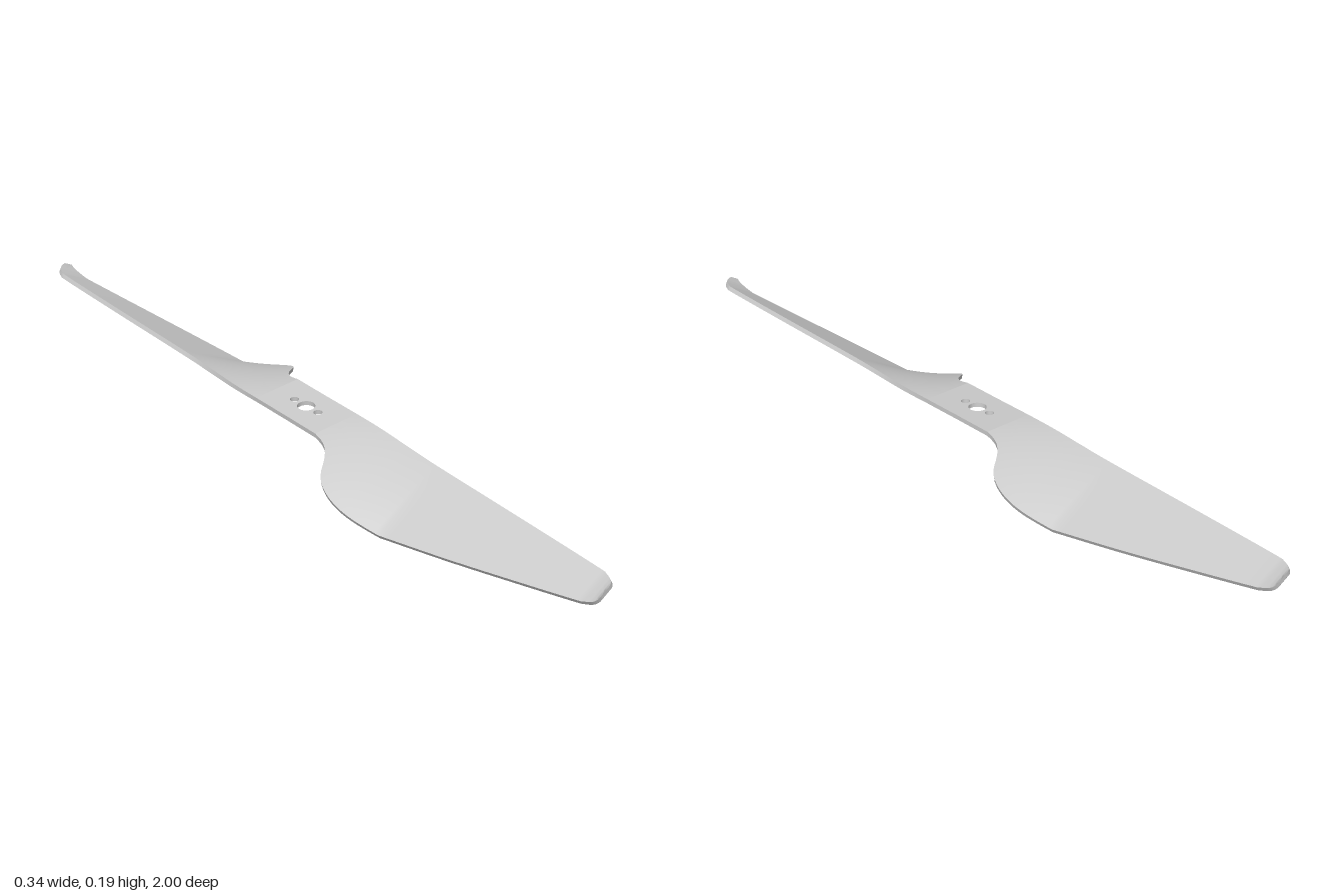
import * as THREE from 'three';
import { toCreasedNormals } from 'three/addons/utils/BufferGeometryUtils.js';

const THICK = 0.011, HUB_TOP = 0.146, ROOT = 0.11, KINK = 0.41, PITCH = 0.55;

// Blade outline as (z along the blade, x of the edge)
const leadPts = [[0, 0.066], [ROOT, 0.063], [0.2, 0.059], [0.3, 0.05], [KINK, 0.041], [0.7, 0.025],
  [0.93, 0.011], [0.96, 0.006], [0.983, -0.005], [0.995, -0.018], [1, -0.031]];
const trailRootPts = [[0, -0.066], [ROOT, -0.07], [0.15, -0.079], [0.18, -0.104], [0.21, -0.144],
  [0.24, -0.162], [0.28, -0.169], [0.33, -0.165], [KINK, -0.148]];
const trailTipPts = [[KINK, -0.148], [0.6, -0.122], [0.8, -0.091], [0.95, -0.067], [0.985, -0.061], [1, -0.053]];

const smooth = (pts) => new THREE.SplineCurve(pts.map((p) => new THREE.Vector2(...p))).getPoints(120);
const leadLine = smooth(leadPts);
const trailLine = [...smooth(trailRootPts), ...smooth(trailTipPts)];

function lookup(line, z) {
  let i = 1;
  while (i < line.length - 1 && line[i].x < z) i++;
  const a = line[i - 1], b = line[i];
  const t = THREE.MathUtils.clamp((z - a.x) / Math.max(b.x - a.x, 1e-6), 0, 1);
  return a.y + (b.y - a.y) * t;
}

// Loft of thin slanted sections: twisting up to the kink, constant pitch beyond it
function bladeGeometry() {
  const zs = [], cols = 10, ring = 2 * (cols + 1);
  for (let i = 0; i < 26; i++) zs.push(ROOT + (KINK - ROOT) * i / 26);
  for (let i = 0; i <= 40; i++) zs.push(KINK + (1 - KINK) * (1 - (1 - i / 40) ** 2));
  const pos = [], idx = [];
  for (const z of zs) {
    const lead = lookup(leadLine, z), trail = lookup(trailLine, z);
    const slope = PITCH * Math.min(1, (z - ROOT) / (KINK - ROOT));
    const angle = Math.atan(slope);
    const yLead = HUB_TOP - 0.005 * (z - ROOT);
    for (let k = 0; k < ring; k++) {
      const under = k > cols;
      const u = (under ? ring - 1 - k : k) / cols;
      const x = trail + (lead - trail) * u;
      const y = yLead + slope * (x - lead);
      const d = under ? THICK : 0;
      pos.push(x + d * Math.sin(angle), y - d * Math.cos(angle), z);
    }
  }
  for (let j = 0; j < zs.length - 1; j++) {
    for (let k = 0; k < ring; k++) {
      const a = j * ring + k, b = j * ring + (k + 1) % ring;
      idx.push(a, a + ring, b, b, a + ring, b + ring);
    }
  }
  // Tip cap
  const last = (zs.length - 1) * ring;
  for (let k = 0; k < cols; k++) {
    const t = last + k, b = last + ring - 1 - k;
    idx.push(t, b, b - 1, t, b - 1, t + 1);
  }
  const geo = new THREE.BufferGeometry();
  geo.setAttribute('position', new THREE.Float32BufferAttribute(pos, 3));
  geo.setIndex(idx);
  return toCreasedNormals(geo, 0.5);
}

// Flat centre plate with a shaft hole and two pin holes
function hubGeometry() {
  const l = lookup(leadLine, ROOT), t = lookup(trailLine, ROOT);
  const shape = new THREE.Shape([[t, ROOT], [-0.066, 0], [-l, -ROOT], [-t, -ROOT], [0.066, 0], [l, ROOT]]
    .map((p) => new THREE.Vector2(...p)));
  for (const [z, r] of [[0, 0.022], [0.042, 0.011], [-0.042, 0.011]]) {
    shape.holes.push(new THREE.Path().absarc(0, z, r, 0, Math.PI * 2, true));
  }
  const geo = new THREE.ExtrudeGeometry(shape, { depth: THICK, bevelEnabled: false, curveSegments: 24 });
  return geo.rotateX(Math.PI / 2).translate(0, HUB_TOP, 0);
}

export function createModel() {
  const model = new THREE.Group();
  model.name = 'propeller';
  const material = new THREE.MeshStandardMaterial({ color: 0xcccccc });
  const pivotY = 0.07;

  const add = (name, geo, turn = 0) => {
    const mesh = new THREE.Mesh(geo, material);
    mesh.name = name;
    mesh.position.y = -pivotY;
    mesh.rotation.y = turn;
    tilted.add(mesh);
  };

  // The whole propeller leans slightly forward and sideways
  const tilted = new THREE.Group();
  tilted.name = 'tiltedPropeller';
  tilted.position.y = pivotY;
  tilted.rotation.set(0.048, 0, 0.06);
  model.add(tilted);

  const blade = bladeGeometry();
  add('hub', hubGeometry());
  add('frontBlade', blade);
  add('backBlade', blade, Math.PI);
  return model;
}
